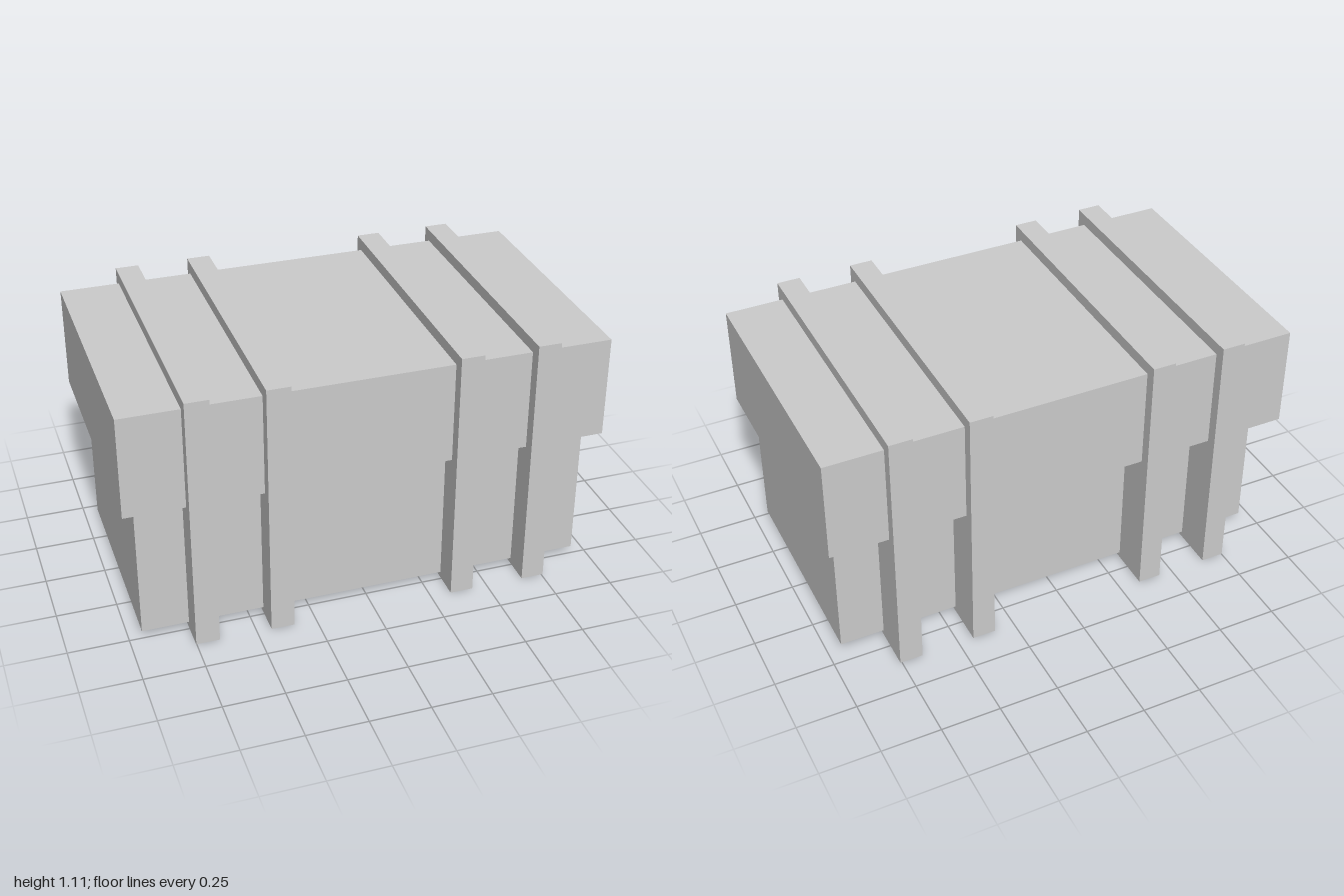
import * as THREE from 'three';

const material = new THREE.MeshStandardMaterial({ color: 0xcccccc, flatShading: true });

// Box given by its [min, max] extent on each axis
function block(name, [x0, x1], [y0, y1], [z0, z1]) {
  const mesh = new THREE.Mesh(new THREE.BoxGeometry(x1 - x0, y1 - y0, z1 - z0), material);
  mesh.position.set((x0 + x1) / 2, (y0 + y1) / 2, (z0 + z1) / 2);
  mesh.name = name;
  return mesh;
}

export function createModel() {
  const chest = new THREE.Group();
  chest.name = 'chest';

  // Body and the wider lid resting on it
  chest.add(block('body', [-0.945, 0.942], [0.025, 0.622], [-0.43, 0.488]));
  chest.add(block('lid', [-1, 1], [0.622, 1.055], [-0.56, 0.555]));

  // Four solid bands around body and lid
  const straps = new THREE.Group();
  straps.name = 'straps';
  const width = 0.097;
  for (const x of [-0.703, -0.391, 0.386, 0.708]) {
    straps.add(block('strap', [x - width / 2, x + width / 2], [0, 1.105], [-0.606, 0.606]));
  }
  chest.add(straps);

  return chest;
}
